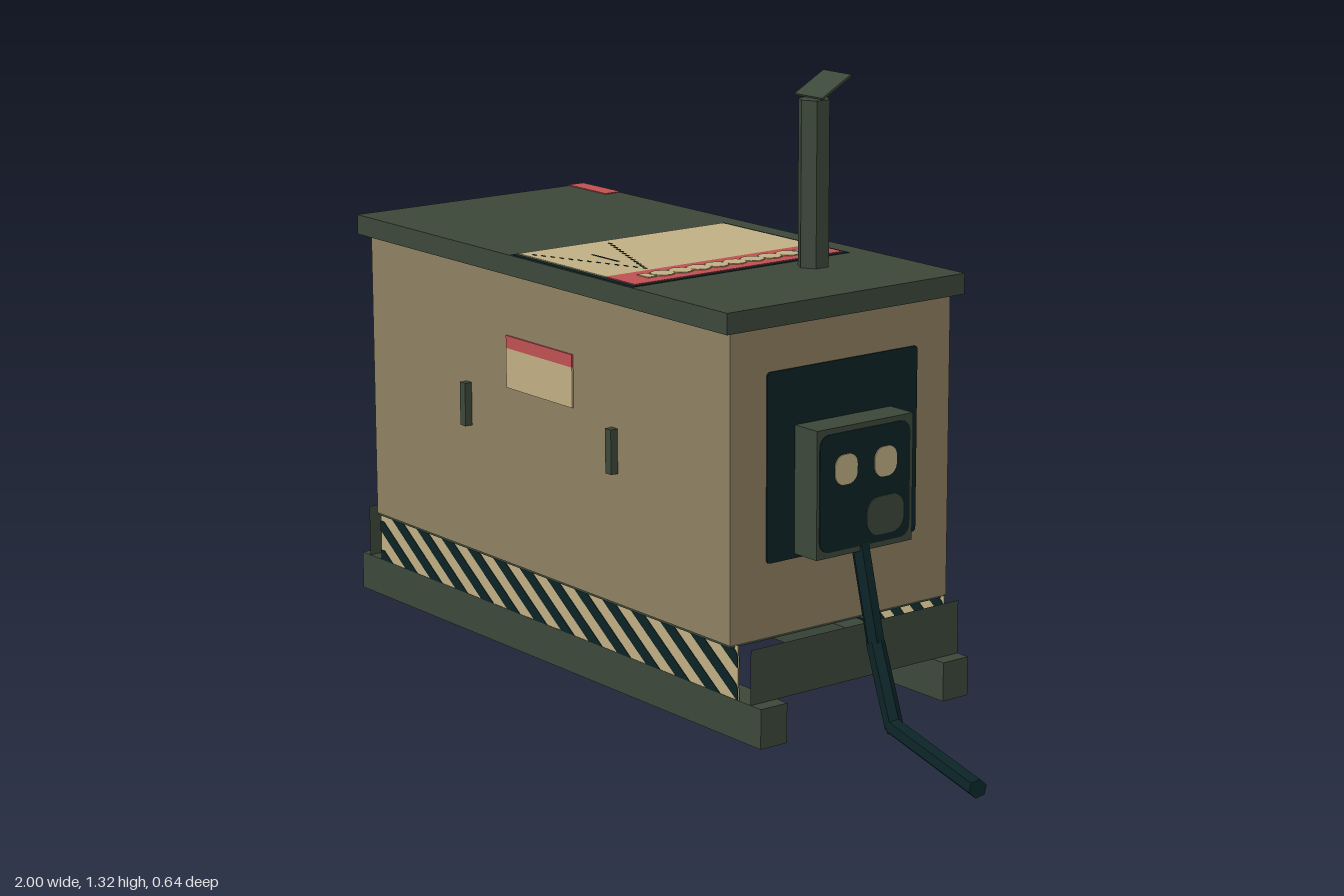
import * as THREE from 'three';

function material(name, color, side = THREE.FrontSide) {
  const m = new THREE.MeshStandardMaterial({ color, side, flatShading: true });
  m.name = name;
  return m;
}

export function createModel() {
  const green = material('dark green', 0x3c483a, THREE.DoubleSide);
  const tan = material('tan', 0x8f8062);
  const cream = material('cream', 0xc1b084);
  const red = material('red', 0xc05052);
  const dark = material('blue black', 0x0c2326);
  const model = new THREE.Group();
  model.name = 'generator';

  function add(name, geometry, mat, parent = model) {
    const mesh = new THREE.Mesh(geometry, mat);
    mesh.name = name;
    parent.add(mesh);
    return mesh;
  }
  // Box given by its low and high limits
  function box(name, mat, [x0, x1], [y0, y1], [z0, z1]) {
    const mesh = add(name, new THREE.BoxGeometry(x1 - x0, y1 - y0, z1 - z0), mat);
    mesh.position.set((x0 + x1) / 2, (y0 + y1) / 2, (z0 + z1) / 2);
    return mesh;
  }
  function roundedRect(w, h, r) {
    const s = new THREE.Shape(), a = w / 2 - r, b = h / 2 - r;
    s.absarc(a, b, r, 0, Math.PI / 2);
    s.absarc(-a, b, r, Math.PI / 2, Math.PI);
    s.absarc(-a, -b, r, Math.PI, Math.PI * 1.5);
    s.absarc(a, -b, r, Math.PI * 1.5, Math.PI * 2);
    return s;
  }
  // Thin rounded plate facing +x (side 1) or -x (side -1)
  function endPlate(name, mat, x, y, z, w, h, r, side = 1) {
    const g = new THREE.ExtrudeGeometry(roundedRect(w, h, r), { depth: 0.004, bevelEnabled: false, curveSegments: 4 });
    g.rotateY(side * Math.PI / 2);
    add(name, g, mat).position.set(x, y, z);
  }

  // Housing, floor and lid
  box('housing', tan, [-0.912, 0.4], [0.203, 0.865], [-0.296, 0.298]);
  box('floor', green, [-0.912, 0.4], [0.198, 0.203], [-0.294, 0.296]);
  box('lid', green, [-0.935, 0.418], [0.862, 0.907], [-0.32, 0.32]);

  // Skids and the thin cross plates between them
  for (const s of [-1, 1]) {
    const z = s > 0 ? [0.215, 0.285] : [-0.285, -0.215];
    box('skid', green, [-1, 0.485], [0, 0.086], z);
  }
  for (const x of [-0.967, 0.452]) {
    const plate = add('crossPlate', new THREE.PlaneGeometry(0.57, 0.118), green);
    plate.rotation.y = Math.PI / 2;
    plate.position.set(x, 0.145, 0);
  }

  // Hazard bands: cream plates with slanted dark stripes on both sides
  const X0 = -0.92, X1 = 0.41, Y0 = 0.086, Y1 = 0.203, period = 0.102, slant = 0.17;
  const clampX = x => Math.min(X1, Math.max(X0, x));
  for (const z of [-0.283, 0.283]) {
    box('hazardBand', cream, [X0, X1], [Y0, Y1], [z - 0.001, z + 0.001]);
    for (let x = X0 - slant; x < X1; x += period) {
      const left = [], right = [];
      for (let i = 0; i <= 10; i++) {
        const t = i / 10, y = Y0 + (Y1 - Y0) * t, e = x + slant * (1 - t);
        const a = clampX(e), b = clampX(e + period * 0.47);
        if (b - a < 0.001) continue;
        left.push(new THREE.Vector2(a, y));
        right.unshift(new THREE.Vector2(b, y));
      }
      if (left.length < 2) continue;
      const g = new THREE.ExtrudeGeometry(new THREE.Shape([...left, ...right]), { depth: 0.005, bevelEnabled: false });
      add('hazardStripe', g, dark).position.z = z - 0.0025;
    }
  }

  // Side labels, front and back
  for (const z of [-0.297, 0.299]) {
    box('sideLabel', cream, [-0.378, -0.135], [0.603, 0.692], [z - 0.003, z + 0.003]);
    box('sideLabelHeader', red, [-0.378, -0.135], [0.692, 0.72], [z - 0.003, z + 0.003]);
  }
  // Door handles
  for (const x of [-0.528, 0.011]) box('handle', green, [x - 0.01, x + 0.01], [0.49, 0.588], [0.297, 0.316]);

  // End panels
  endPlate('rightPanel', dark, 0.399, 0.563, 0, 0.406, 0.404, 0.008);
  endPlate('leftPanel', dark, -0.911, 0.563, 0, 0.406, 0.404, 0.008, -1);

  // Control box with two gauges and a socket
  box('controlBox', green, [0.4, 0.474], [0.371, 0.645], [-0.13, 0.13]);
  endPlate('controlFace', dark, 0.472, 0.508, 0.001, 0.244, 0.25, 0.025);
  for (const z of [-0.053, 0.054]) endPlate('gauge', cream, 0.474, 0.554, z, 0.06, 0.064, 0.024);
  endPlate('socket', green, 0.474, 0.44, -0.053, 0.1, 0.082, 0.032);

  // Cable: straight six-sided runs with a mitre ball at each bend
  const path = [[0.452, 0.41, 0], [0.512, 0.18, 0], [0.605, 0.027, 0.028], [0.99, 0.027, 0.147]]
    .map(p => new THREE.Vector3(...p));
  for (let i = 0; i < path.length - 1; i++) {
    const dir = path[i + 1].clone().sub(path[i]);
    const run = add('cable', new THREE.CylinderGeometry(0.02, 0.02, dir.length(), 6), dark);
    run.position.copy(path[i]).addScaledVector(dir, 0.5);
    run.quaternion.setFromUnitVectors(new THREE.Vector3(0, 1, 0), dir.normalize());
    if (i) add('cableBend', new THREE.SphereGeometry(0.02, 6, 4), dark).position.copy(path[i]);
  }

  // Exhaust pipe with tilted rain flap
  add('exhaustPipe', new THREE.CylinderGeometry(0.035, 0.035, 0.365, 6), green).position.set(0.16, 1.083, -0.12);
  const flap = add('rainFlap', new THREE.BoxGeometry(0.09, 0.005, 0.09), green);
  flap.position.set(0.158, 1.292, -0.146);
  flap.rotation.x = 0.5;

  // Lid label: dark border, cream sheet, red strip with dots
  const top = (name, mat, x, z, lift) => box(name, mat, x, [0.905, 0.907 + lift], z);
  top('lidLabelBorder', dark, [-0.334, 0.1], [-0.272, 0.316], 0.001);
  top('lidLabel', cream, [-0.326, -0.012], [-0.262, 0.302], 0.003);
  top('lidLabelStrip', red, [-0.012, 0.09], [-0.262, 0.302], 0.003);
  for (let i = 0; i < 8; i++) {
    add('stripDot', new THREE.CylinderGeometry(0.027, 0.027, 0.003, 8), cream)
      .position.set(0.037, 0.9105, -0.15 + i * 0.0485);
  }
  for (const z of [-0.192, 0.23]) top('stripDash', cream, [0.018, 0.056], [z - 0.012, z + 0.012], 0.005);
  // Dotted guide lines on the lid label
  for (const z of [0.082, 0.285]) {
    for (let i = 0; i <= 12; i++) {
      const t = i / 12, x = -0.03 - 0.26 * t, c = 0.185 + (z - 0.185) * t;
      top('guideDot', dark, [x - 0.006, x + 0.006], [c - 0.002, c + 0.002], 0.004);
    }
  }
  top('guideLine', dark, [-0.215, -0.12], [0.184, 0.188], 0.004);
  // Corner tag
  top('cornerTag', red, [-0.935, -0.787], [-0.32, -0.276], 0.002);

  return model;
}
